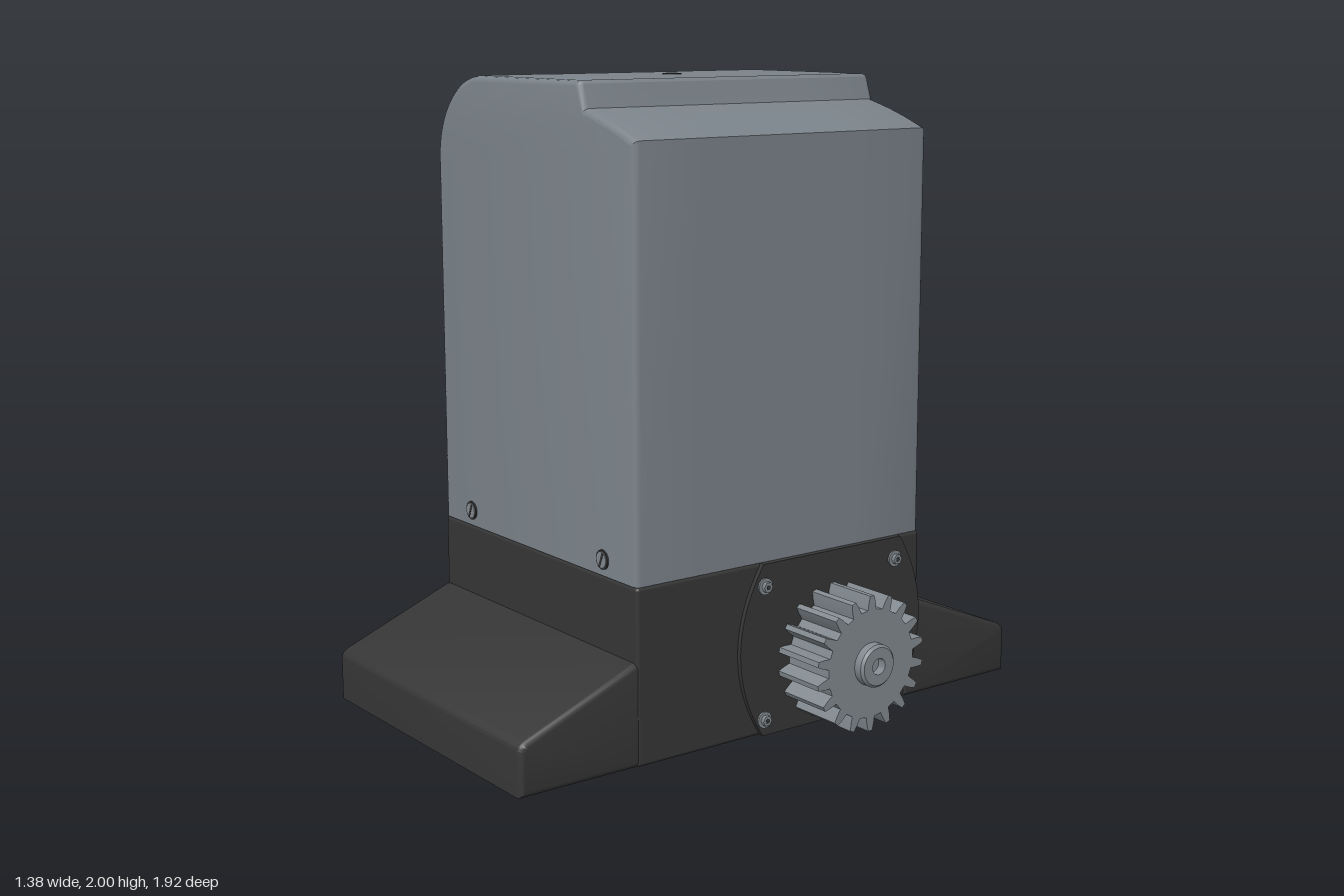
import * as THREE from 'three';
import { toCreasedNormals } from 'three/addons/utils/BufferGeometryUtils.js';
import { RoundedBoxGeometry } from 'three/addons/geometries/RoundedBoxGeometry.js';

const mat = (name, color) => Object.assign(new THREE.MeshStandardMaterial({ color }), { name });

export function createModel() {
  const group = new THREE.Group();
  const grey = mat('cover grey', 0x7b838a);
  const dark = mat('base charcoal', 0x363636);
  const steel = mat('gear steel', 0x828a90);

  const add = (name, geo, material, x = 0, y = 0, z = 0, parent = group) => {
    const m = new THREE.Mesh(geo, material);
    m.name = name;
    m.position.set(x, y, z);
    parent.add(m);
    return m;
  };
  // Shape drawn in (z, y), extruded from x0 to x1
  const extrudeX = (shape, x0, x1, bevel = 0) => {
    const g = new THREE.ExtrudeGeometry(shape, {
      depth: x1 - x0 - 2 * bevel, bevelEnabled: bevel > 0, bevelSize: bevel, bevelOffset: -bevel,
      bevelThickness: bevel, bevelSegments: 3, curveSegments: 24,
    });
    g.rotateY(-Math.PI / 2);
    g.translate(x1 - bevel, 0, 0);
    return toCreasedNormals(g, 0.6);
  };
  const cylX = (r, len, seg = 32) => new THREE.CylinderGeometry(r, r, len, seg).rotateZ(Math.PI / 2);
  const cylZ = (r, len, seg = 32) => new THREE.CylinderGeometry(r, r, len, seg).rotateX(Math.PI / 2);

  // Cover: side profile, with the corner recess only in the middle slice
  const coverShape = (recessed) => {
    const s = new THREE.Shape();
    s.moveTo(-0.64, 0.55);
    s.lineTo(0.45, 0.55);
    s.lineTo(0.45, 1.84);
    s.quadraticCurveTo(0.33, 1.89, 0.2, 1.92);
    s.lineTo(0.178, 1.985);
    s.quadraticCurveTo(0.175, 2, 0.16, 2);
    if (recessed) {
      s.lineTo(-0.37, 2);
      s.lineTo(-0.37, 1.95);
      s.absarc(-0.38, 1.74, 0.21, Math.PI / 2, Math.PI, false);
      s.lineTo(-0.64, 1.74);
    } else {
      s.lineTo(-0.38, 2);
      s.absarc(-0.38, 1.74, 0.26, Math.PI / 2, Math.PI, false);
    }
    s.closePath();
    return s;
  };
  // Each slice runs through the given z stations, shrinking by the inset to round the ends
  const coverSlice = (name, shape, zs, insets) => {
    const n = zs.length - 1;
    const g = new THREE.ExtrudeGeometry(shape, { depth: 1, steps: n, bevelEnabled: false, curveSegments: 24 });
    const p = g.attributes.position;
    for (let i = 0; i < p.count; i++) {
      const k = Math.round(p.getZ(i) * n), d = insets[k];
      p.setXYZ(i,
        -0.095 + (p.getX(i) + 0.095) * (1 - d / 0.545),
        0.55 + (p.getY(i) - 0.55) * (1 - d / 1.45), zs[k]);
    }
    add(name, toCreasedNormals(g, 0.6), grey);
  };
  const round = [0, 0, 0.003, 0.009, 0.018];
  coverSlice('coverFront', coverShape(false), [0.28, 0.535, 0.546, 0.552, 0.555], round);
  coverSlice('coverMiddle', coverShape(true), [-0.28, 0.28], [0, 0]);
  coverSlice('coverBack', coverShape(false), [-0.56, -0.557, -0.551, -0.54, -0.28], [...round].reverse());

  // Curved window panel on the recess floor
  const panel = new THREE.CylinderGeometry(0.216, 0.216, 0.47, 24, 1, true, Math.PI * 1.03, Math.PI * 0.44);
  panel.rotateX(Math.PI / 2);
  panel.computeBoundingBox();
  const win = new THREE.Shape();
  win.absarc(-0.38, 1.74, 0.216, Math.PI * 0.52, Math.PI * 0.97, false);
  win.absarc(-0.38, 1.74, 0.2, Math.PI * 0.97, Math.PI * 0.52, true);
  win.closePath();
  const winGeo = new THREE.ExtrudeGeometry(win, { depth: 0.47, bevelEnabled: false, curveSegments: 24 });
  add('recessWindow', toCreasedNormals(winGeo, 0.6), grey, 0, 0, -0.237);

  // Small plug on top of the cover
  add('topPlugRim', cylX(0.03, 0.008).rotateZ(Math.PI / 2), dark, -0.125, 1.999, 0);
  add('topPlug', cylX(0.024, 0.008).rotateZ(Math.PI / 2), grey, -0.125, 2.0, 0);

  // Slotted cover screws
  [[-0.47, 1], [0.28, 1], [-0.1, -1]].forEach(([x, side]) => {
    const z = side > 0 ? 0.555 : -0.56;
    const screw = new THREE.Group();
    screw.name = 'coverScrew';
    screw.position.set(x, 0.6, z);
    add('screwRim', cylZ(0.03, 0.01), dark, 0, 0, 0, screw);
    add('screwHead', cylZ(0.025, 0.016), steel, 0, 0, 0, screw);
    add('screwSlot', new THREE.BoxGeometry(0.008, 0.046, 0.018), dark, 0, 0, 0, screw).rotation.z = -0.4;
    group.add(screw);
  });

  // Base block and the two sloping feet
  add('base', new RoundedBoxGeometry(1.093, 0.549, 1.115, 3, 0.012), dark, -0.0935, 0.2755, -0.0025);
  const foot = (dir) => {
    const s = new THREE.Shape();
    s.moveTo(dir * 0.5, 0);
    s.lineTo(dir * 0.96, 0);
    s.lineTo(dir * 0.96, 0.135);
    s.quadraticCurveTo(dir * 0.96, 0.155, dir * 0.935, 0.168);
    s.lineTo(dir * 0.56, 0.32);
    s.lineTo(dir * 0.5, 0.32);
    s.closePath();
    return s;
  };
  add('frontFoot', extrudeX(foot(1), -0.643, 0.45, 0.018), dark);
  add('backFoot', extrudeX(foot(-1), -0.63, 0.46, 0.018), dark);

  // Gear flange: a disc trimmed flat at top and bottom
  const cz = -0.185;
  const flange = new THREE.Shape();
  flange.moveTo(cz - 0.28, 0.003);
  flange.lineTo(cz + 0.28, 0.003);
  flange.quadraticCurveTo(cz + 0.455, 0.276, cz + 0.28, 0.549);
  flange.lineTo(cz - 0.28, 0.549);
  flange.quadraticCurveTo(cz - 0.455, 0.276, cz - 0.28, 0.003);
  add('flange', extrudeX(flange, 0.44, 0.468), dark);
  for (const z of [0.09, -0.44]) for (const y of [0.055, 0.48]) {
    add('flangeBoltWasher', cylX(0.026, 0.014), steel, 0.467, y, z);
    add('flangeBolt', cylX(0.017, 0.03, 6), steel, 0.472, y, z);
    add('flangeBoltSocket', cylX(0.008, 0.004, 6), dark, 0.486, y, z);
  }

  // Spur gear
  const gear = new THREE.Shape();
  const teeth = 18, step = (Math.PI * 2) / teeth;
  const profile = [[-0.28, 0.172], [-0.2, 0.195], [-0.11, 0.216], [0.11, 0.216], [0.2, 0.195], [0.28, 0.172]];
  for (let i = 0; i < teeth; i++) {
    for (const [f, r] of profile) {
      const a = (i + f) * step + Math.PI / 2;
      const x = r * Math.cos(a), y = r * Math.sin(a);
      if (i === 0 && f === profile[0][0]) gear.moveTo(x, y); else gear.lineTo(x, y);
    }
  }
  gear.closePath();
  add('gear', extrudeX(gear, 0.47, 0.655), steel, 0, 0.23, -0.18);

  // Shaft hub with a centre hole
  const hub = [[0.068, 0.45], [0.068, 0.682], [0.06, 0.69], [0.026, 0.69], [0.026, 0.66], [0, 0.66]];
  const hubGeo = new THREE.LatheGeometry(hub.map(([r, h]) => new THREE.Vector2(r, h)), 32).rotateZ(-Math.PI / 2);
  add('gearHub', toCreasedNormals(hubGeo, 0.5), steel, 0, 0.23, -0.18);

  // Access plate with a rounded end and a raised lid on the far side
  const plate = new THREE.Shape();
  plate.moveTo(-0.29, 0.12);
  plate.lineTo(0.39, 0.12);
  plate.absarc(0.39, 0.26, 0.14, -Math.PI / 2, Math.PI / 2, false);
  plate.lineTo(-0.29, 0.4);
  plate.closePath();
  add('accessPlate', extrudeX(plate, -0.65, -0.63), dark);
  add('accessLid', new THREE.BoxGeometry(0.01, 0.26, 0.35), dark, -0.651, 0.26, -0.11);

  // Domed release knob
  const dome = [[0.078, 0], [0.078, 0.008], [0.066, 0.022], [0.045, 0.035], [0.03, 0.042], [0, 0.042]];
  const domeGeo = new THREE.LatheGeometry(dome.map(([r, h]) => new THREE.Vector2(r, h)), 32).rotateZ(Math.PI / 2);
  add('releaseKnob', toCreasedNormals(domeGeo, 0.7), steel, -0.649, 0.305, 0.4);

  return group;
}
